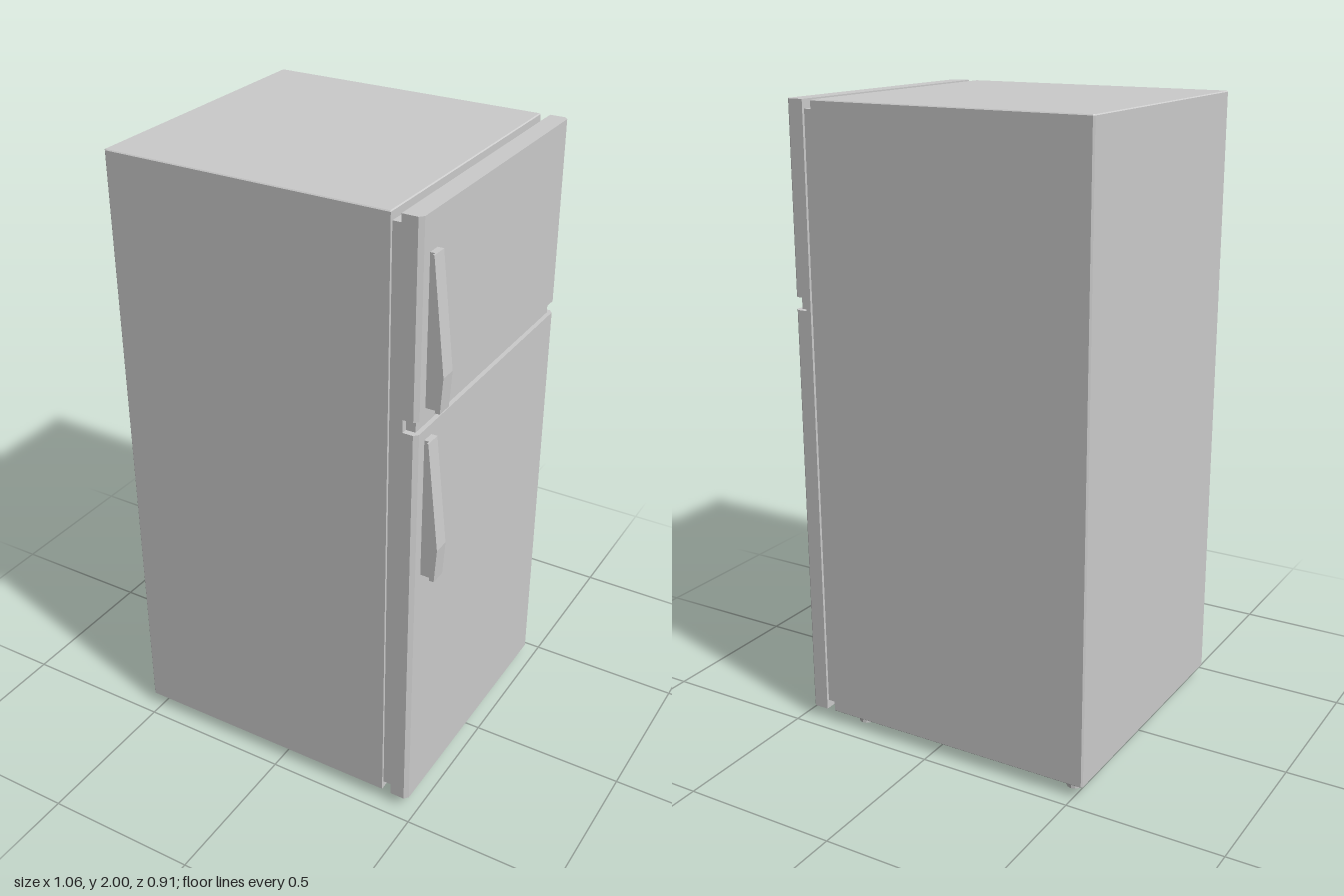
import * as THREE from 'three';

const material = new THREE.MeshStandardMaterial({ color: 0xcccccc, flatShading: true, side: THREE.DoubleSide });

function add(parent, name, geometry, x = 0, y = 0, z = 0) {
  const mesh = new THREE.Mesh(geometry, material);
  mesh.name = name;
  mesh.position.set(x, y, z);
  parent.add(mesh);
  return mesh;
}

function polygon(points) {
  return new THREE.Shape(points.map(([x, y]) => new THREE.Vector2(x, y)));
}

// Box given by its limits
function block(parent, name, x0, x1, y0, y1, z0, z1) {
  return add(parent, name, new THREE.BoxGeometry(x1 - x0, y1 - y0, z1 - z0),
    (x0 + x1) / 2, (y0 + y1) / 2, (z0 + z1) / 2);
}

// Plan outline (x, z), raised from y0 to y1; bevel softens top and bottom rims
function raised(points, y0, y1, bevel = 0) {
  return new THREE.ExtrudeGeometry(polygon(points), {
    depth: y1 - y0 - 2 * bevel, bevelEnabled: bevel > 0, bevelSize: bevel,
    bevelThickness: bevel, bevelOffset: -bevel, bevelSegments: 1,
  }).rotateX(-Math.PI / 2).translate(0, y0 + bevel, 0);
}

// Side outline (x, y), from z0 to z1
function sideways(points, z0, z1) {
  return new THREE.ExtrudeGeometry(polygon(points), { depth: z1 - z0, bevelEnabled: false }).translate(0, 0, z0);
}

function addHandle(parent, name, bottom) {
  const handle = new THREE.Group();
  handle.name = name;
  handle.position.y = bottom;
  // Narrow web against the door
  add(handle, 'handleWeb', sideways(
    [[0.468, 0], [0.505, 0], [0.511, 0.11], [0.484, 0.45], [0.468, 0.45]], 0.37, 0.41));
  // Wider bent grip in front of it
  add(handle, 'handleGrip', sideways(
    [[0.505, 0], [0.52, 0], [0.527, 0.11], [0.489, 0.45], [0.484, 0.45], [0.511, 0.11]], 0.37, 0.423));
  parent.add(handle);
}

export function createModel() {
  const model = new THREE.Group();
  model.name = 'refrigerator';

  // Cabinet with finely bevelled edges
  const c = 0.005;
  add(model, 'cabinet', raised([
    [-0.53 + c, -0.455], [0.38, -0.455], [0.38, 0.455], [-0.53 + c, 0.455],
    [-0.53, 0.455 - c], [-0.53, -0.455 + c],
  ], 0.04, 2, 0.003));

  // Recessed seal between cabinet and doors
  block(model, 'doorSeal', 0.375, 0.415, 0.068, 1.972, -0.446, 0.446);

  // Doors with chamfered front uprights
  const doorPlan = [[0.41, -0.455], [0.458, -0.455], [0.47, -0.442],
    [0.47, 0.442], [0.458, 0.455], [0.41, 0.455]];
  add(model, 'lowerDoor', raised(doorPlan, 0.04, 1.375));
  add(model, 'upperDoor', raised(doorPlan, 1.415, 2));

  // Divider between the doors, stepped in at both ends
  block(model, 'dividerBack', 0.41, 0.426, 1.375, 1.415, -0.455, 0.455);
  block(model, 'dividerFront', 0.426, 0.456, 1.375, 1.415, -0.436, 0.436);

  addHandle(model, 'upperHandle', 1.443);
  addHandle(model, 'lowerHandle', 0.892);

  // Feet
  for (const x of [-0.47, 0.3]) {
    for (const z of [-0.388, 0.388]) {
      add(model, 'foot', new THREE.CylinderGeometry(0.024, 0.024, 0.044, 12), x, 0.022, z);
    }
  }
  return model;
}
